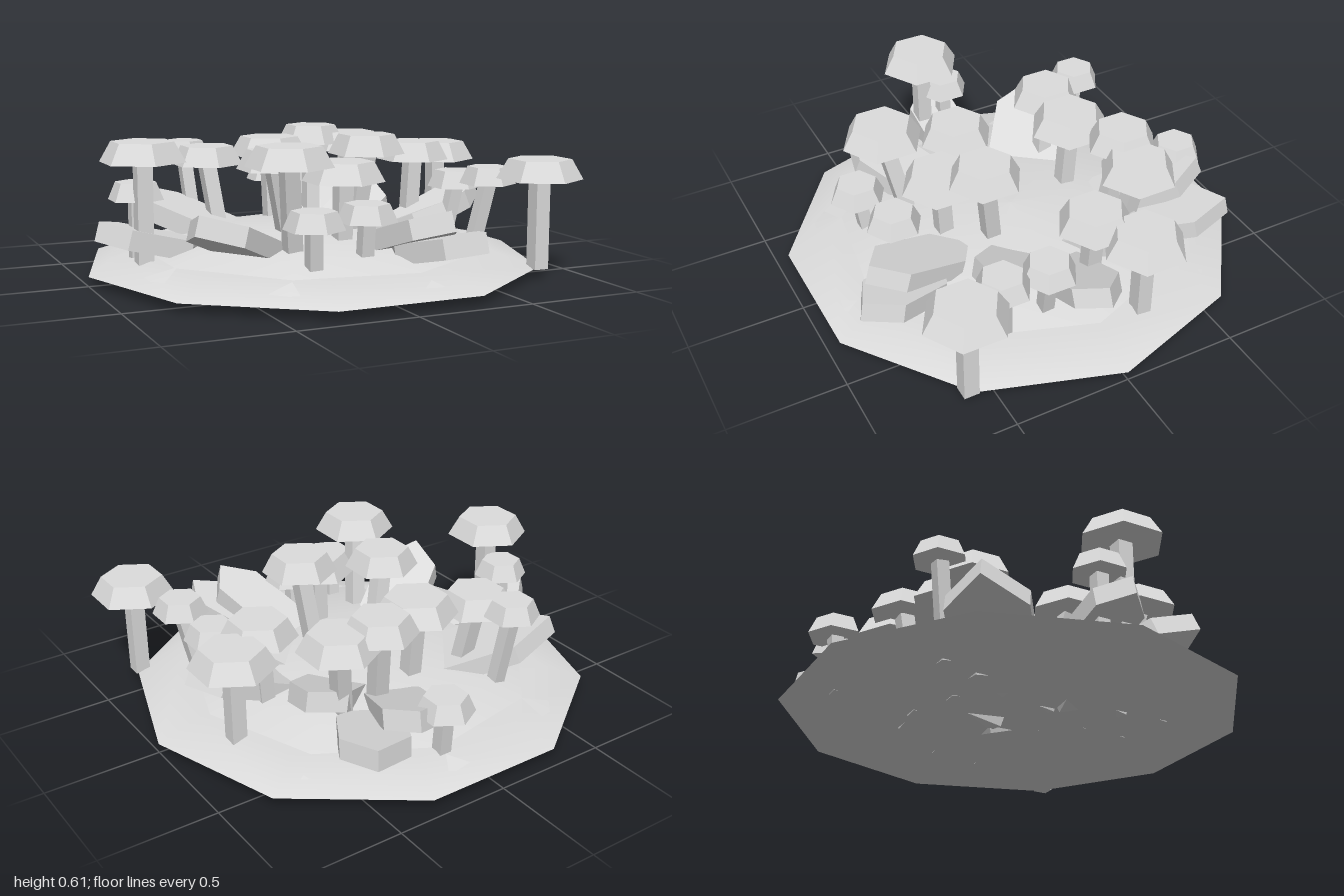
import * as THREE from 'three';

const stone = new THREE.MeshStandardMaterial({ color: 0xdcdcdc });
stone.name = 'paleGrey';

// Faceted geometry with hard edges
function faceted(geo) {
  const g = geo.toNonIndexed();
  g.computeVertexNormals();
  return g;
}

function addMesh(parent, name, geo) {
  const mesh = new THREE.Mesh(geo, stone);
  mesh.name = name;
  parent.add(mesh);
  return mesh;
}

// Smooth turned layer of the mound
function turned(points, sides, start) {
  return new THREE.LatheGeometry(points.map(([r, y]) => new THREE.Vector2(r, y)), sides, start);
}

// Mushroom: hexagonal frustum cap on a slim square stem, leaning out from its foot
function mushroom(x, z, r, top, lean) {
  const group = new THREE.Group();
  group.name = 'mushroom';
  const h = r > 0.13 ? 0.085 : 0.075;
  const cap = addMesh(group, 'cap', faceted(new THREE.CylinderGeometry(r * 0.73, r, h, 6)));
  cap.position.set(x, top - h / 2, z);

  const foot = new THREE.Vector3(x * lean, 0.04, z * lean);
  const head = new THREE.Vector3(x, top - h, z);
  const dir = head.clone().sub(foot);
  const w = r > 0.13 ? 0.066 : 0.055;
  const stem = addMesh(group, 'stem', new THREE.BoxGeometry(w, dir.length(), w));
  stem.position.copy(foot).add(head).multiplyScalar(0.5);
  stem.quaternion.setFromUnitVectors(new THREE.Vector3(0, 1, 0), dir.normalize());
  return group;
}

// Rock slab: long six-sided tablet, outer tip raised, inner tip buried in the mound
function slab(x, z, y, width, length, yaw, tilt) {
  const w = width / 2;
  const s = width * 0.52;
  const outline = [[0, -length], [w, s - length], [w, -s], [0, 0], [-w, -s], [-w, s - length]];
  const shape = new THREE.Shape(outline.map(([a, b]) => new THREE.Vector2(a, b)));
  const geo = new THREE.ExtrudeGeometry(shape, { depth: 0.085, bevelEnabled: false });
  geo.rotateX(Math.PI / 2).rotateX(-tilt).rotateY(yaw);
  const mesh = new THREE.Mesh(geo, stone);
  mesh.name = 'rockSlab';
  mesh.position.set(x, y, z);
  return mesh;
}

export function createModel() {
  const model = new THREE.Group();
  model.name = 'mushroomMound';

  // Ten-sided foot with a flat underside, and a smooth dome laid over it
  addMesh(model, 'moundFoot', turned([[1, 0.04], [0.8, 0.105], [0, 0.108]], 10, Math.PI / 2));
  addMesh(model, 'moundDome', turned([[0.89, 0.07], [0.62, 0.145], [0.32, 0.19], [0, 0.203]], 9, 0.19));
  const base = addMesh(model, 'moundUnderside', new THREE.CircleGeometry(1, 10));
  base.rotation.x = Math.PI / 2;
  base.position.y = 0.04;

  // Mushrooms: x, z, cap radius, top height, foot position factor
  const mushrooms = [
    [-0.78, 0.07, 0.182, 0.6, 1],
    [-0.78, -0.04, 0.12, 0.42, 1],
    [-0.23, 0.15, 0.165, 0.55, 0.55],
    [-0.3, 0.47, 0.182, 0.6, 0.8],
    [0, 0.34, 0.175, 0.51, 0.95],
    [0.17, 0.21, 0.165, 0.605, 0.7],
    [0.79, 0.605, 0.182, 0.51, 1],
    [0.75, -0.21, 0.182, 0.51, 1],
    [0.56, -0.09, 0.165, 0.53, 0.95],
    [0.2, -0.44, 0.16, 0.59, 0.85],
    [0.38, -0.41, 0.175, 0.555, 0.85],
    [-0.06, -0.33, 0.182, 0.555, 0.9],
    [-0.35, -0.37, 0.165, 0.52, 0.85],
    [-0.4, -0.55, 0.12, 0.53, 0.9],
    [0.13, -0.78, 0.122, 0.365, 0.97],
    [0.64, 0.165, 0.122, 0.42, 0.9],
    [0.67, 0.39, 0.122, 0.46, 0.9],
    [0, 0.56, 0.125, 0.365, 0.95],
    [-0.26, 0.62, 0.125, 0.36, 0.95],
  ];
  mushrooms.forEach((m) => model.add(mushroom(...m)));

  // Rock slabs fanning outward: tip x, z, y, width, length, yaw, tilt
  const slabs = [
    [0.48, -0.82, 0.26, 0.28, 0.55, 2.6, 0.22],
    [0.27, -0.8, 0.35, 0.24, 0.6, 2.75, 0.36],
    [-0.67, -0.5, 0.35, 0.34, 0.68, -2.2, 0.36],
    [-0.95, 0, 0.27, 0.22, 0.5, -1.57, 0.25],
    [-0.68, 0.48, 0.35, 0.28, 0.69, -0.95, 0.38],
    [0.26, 0.78, 0.35, 0.24, 0.55, 0.25, 0.32],
    [0.37, 0.86, 0.27, 0.24, 0.5, 0.4, 0.22],
    [0.47, 0.35, 0.31, 0.21, 0.57, 0.7, 0.4],
    [0.83, 0, 0.355, 0.22, 0.6, 1.57, 0.4],
    [0.51, -0.38, 0.31, 0.26, 0.655, 2.2, 0.36],
  ];
  slabs.forEach((s) => model.add(slab(...s)));

  return model;
}
